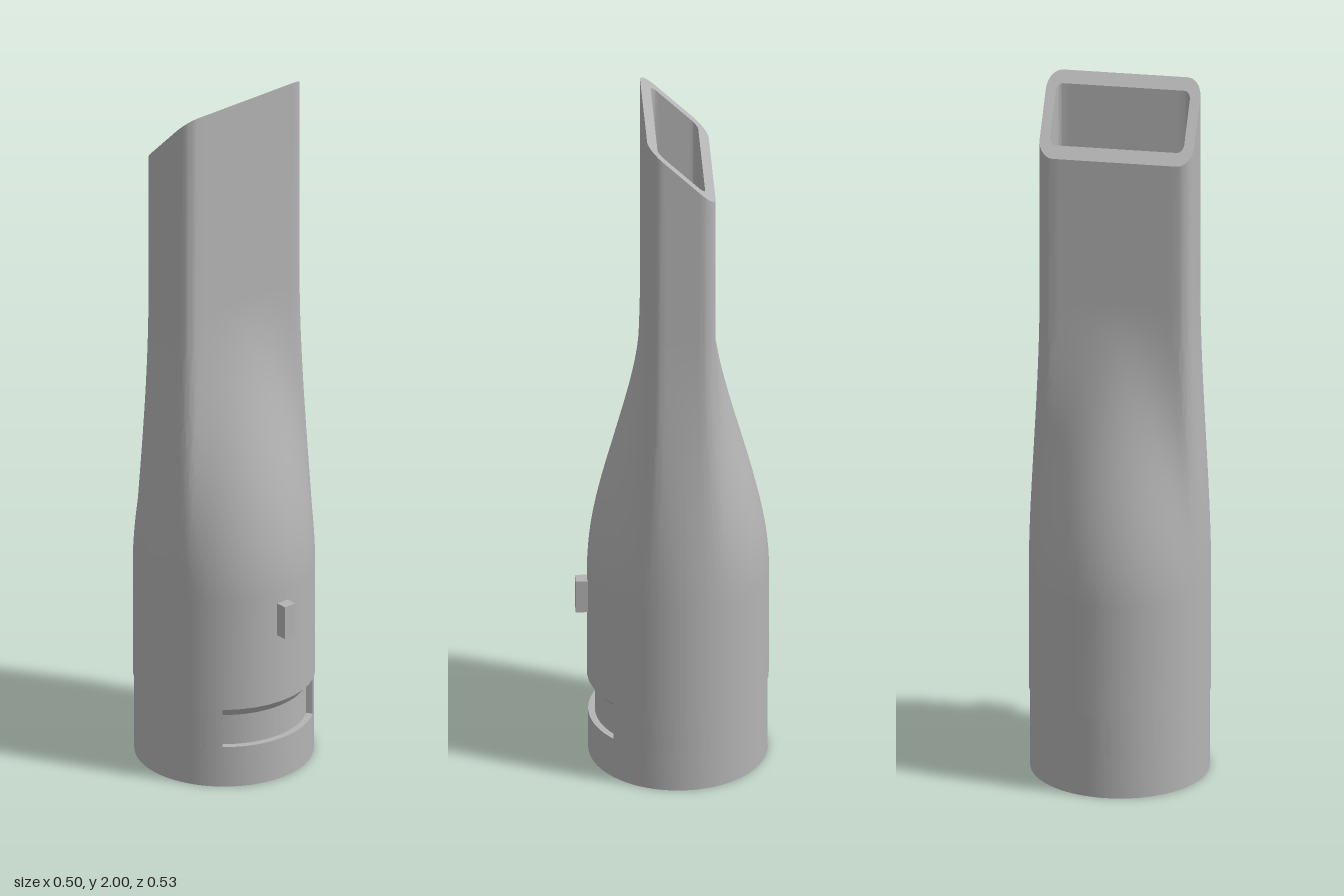
import * as THREE from 'three';
import { toCreasedNormals } from 'three/addons/utils/BufferGeometryUtils.js';

const CENTER_Z = -0.0165;
const COLLAR_TOP = 0.235;

// Points around a rounded rectangle, each with the angle used to match it to a circle
function roundedRect(hx, hz, r) {
  const pts = [];
  const corners = [[1, 1], [-1, 1], [-1, -1], [1, -1]];
  const arcSteps = 10, sideSteps = 20;
  corners.forEach(([sx, sz], c) => {
    const cx = sx * (hx - r), cz = sz * (hz - r);
    for (let i = 0; i <= arcSteps; i++) {
      const a = (c + i / arcSteps) * Math.PI / 2;
      pts.push([cx + r * Math.cos(a), cz + r * Math.sin(a)]);
    }
    const [nx, nz] = corners[(c + 1) % 4];
    const end = (c + 1) * Math.PI / 2;
    const from = pts[pts.length - 1];
    const to = [nx * (hx - r) + r * Math.cos(end), nz * (hz - r) + r * Math.sin(end)];
    for (let i = 1; i < sideSteps; i++) {
      const t = i / sideSteps;
      pts.push([from[0] + (to[0] - from[0]) * t, from[1] + (to[1] - from[1]) * t]);
    }
  });
  return pts;
}

// Rings that blend from a circle to a rounded rectangle, ending on a 45 degree cut
function loftRings(radius, rect) {
  const rings = [];
  const section = (t, y) => rect.map(([x, z]) => {
    const a = Math.atan2(z, x);
    const px = radius * Math.cos(a) * (1 - t) + x * t;
    const pz = radius * Math.sin(a) * (1 - t) + z * t;
    return [px, y === null ? 1.9065 + pz : y, pz];
  });
  rings.push(section(0, COLLAR_TOP));
  const steps = 36, y0 = 0.56, y1 = 1.4;
  for (let i = 0; i <= steps; i++) {
    const t = i / steps;
    rings.push(section(t * t * (3 - 2 * t), y0 + (y1 - y0) * t));
  }
  rings.push(section(1, null));
  return rings;
}

// Skin a list of rings
function skin(rings) {
  const n = rings[0].length, index = [];
  for (let r = 0; r < rings.length - 1; r++) {
    for (let i = 0; i < n; i++) {
      const a = r * n + i, b = r * n + (i + 1) % n;
      index.push(a, a + n, b, b, a + n, b + n);
    }
  }
  const g = new THREE.BufferGeometry();
  g.setAttribute('position', new THREE.Float32BufferAttribute(rings.flat(2), 3));
  g.setIndex(index);
  return toCreasedNormals(g, 0.5);
}

// Curved wall spanning `half` radians either side of the angle `mid` (front is -PI/2)
function arcWall(r0, r1, mid, half, y0, y1) {
  const s = new THREE.Shape();
  s.absarc(0, 0, r1, mid - half, mid + half, false);
  if (half >= Math.PI) {
    const hole = new THREE.Path();
    hole.absarc(0, 0, r0, 0, Math.PI * 2, true);
    s.holes.push(hole);
  } else {
    s.absarc(0, 0, r0, mid + half, mid - half, true);
  }
  const g = new THREE.ExtrudeGeometry(s, { depth: y1 - y0, bevelEnabled: false, curveSegments: 72 });
  g.rotateX(-Math.PI / 2);
  g.translate(0, y0, 0);
  return toCreasedNormals(g, 0.5);
}

export function createModel() {
  const group = new THREE.Group();
  const plastic = new THREE.MeshStandardMaterial({ color: 0xb4b4b4 });
  plastic.name = 'grey plastic';

  const add = (name, geometry) => {
    const m = new THREE.Mesh(geometry, plastic);
    m.name = name;
    m.position.z = CENTER_Z;
    group.add(m);
    return m;
  };

  // Hollow nozzle: outside up, over the slanted rim, inside down, closed at the base
  const outer = loftRings(0.2485, roundedRect(0.213, 0.0935, 0.042));
  const inner = loftRings(0.203, roundedRect(0.185, 0.065, 0.018));
  add('nozzleBody', skin([...outer, ...inner.reverse(), outer[0]]));

  // Connecting collar with a shallow pocket at the front
  const front = -Math.PI / 2, slot = 0.715, bore = 0.203, collar = 0.2445;
  add('collarBase', arcWall(bore, collar, front, Math.PI, 0, 0.12));
  add('collarWall', arcWall(bore, collar, Math.PI / 2, Math.PI - slot, 0.12, COLLAR_TOP));
  add('pocketFloor', arcWall(bore - 0.002, 0.226, front, slot, 0.12, COLLAR_TOP));

  // Sloping upper edge of the pocket
  const slope = [new THREE.Vector2(0.225, 0.207), new THREE.Vector2(collar, COLLAR_TOP)];
  add('pocketChamfer', new THREE.LatheGeometry(slope, 32, -slot, slot * 2));

  // Thickening inside the bore behind the pocket
  add('innerBoss', arcWall(0.18, 0.205, front, 0.93, 0.05, 0.3));

  // Locating stud on the front
  const stud = add('locatingStud', new THREE.BoxGeometry(0.037, 0.097, 0.04));
  stud.position.set(0, 0.487, 0.243);

  return group;
}
